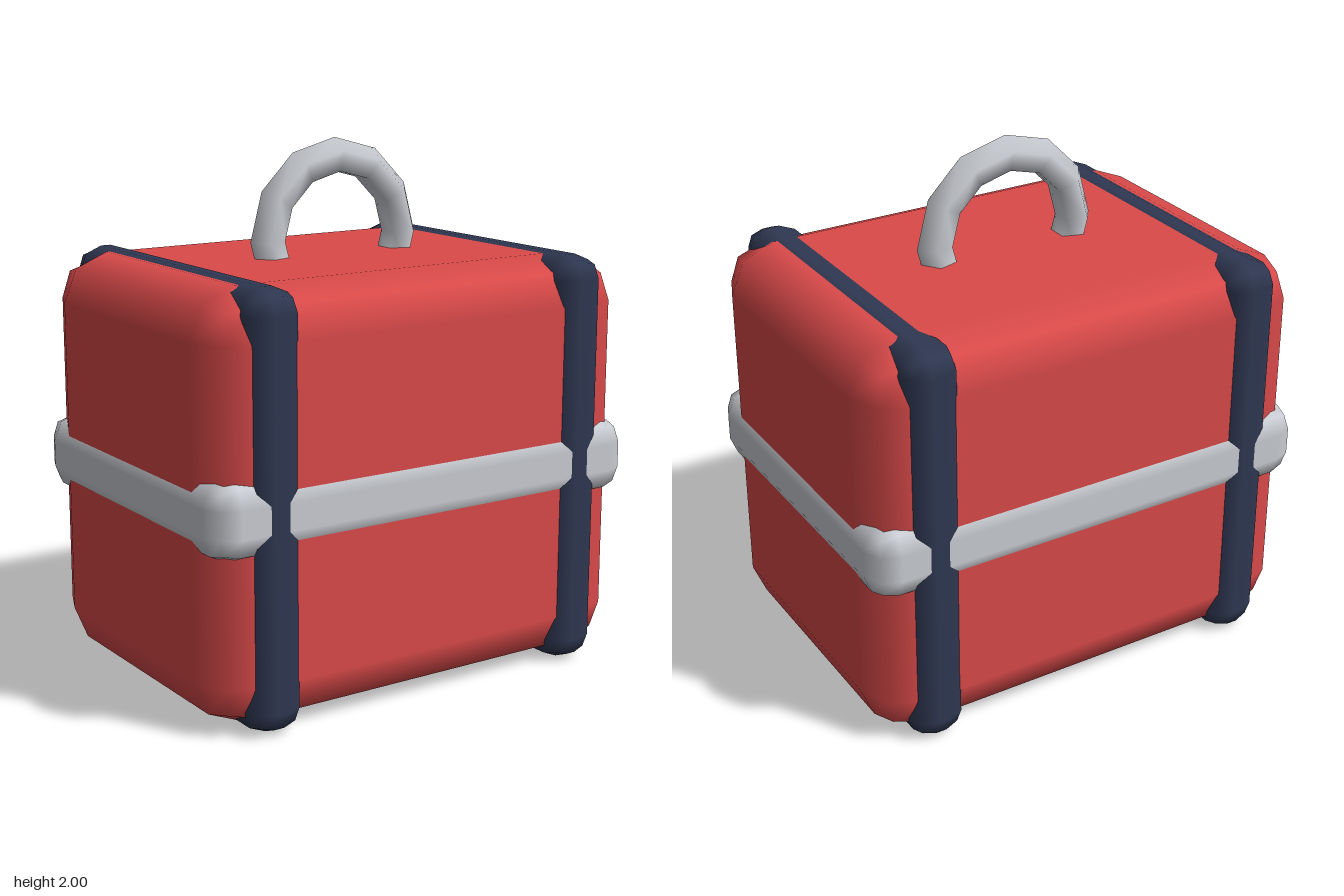
import * as THREE from 'three';
import { RoundedBoxGeometry } from 'three/addons/geometries/RoundedBoxGeometry.js';

const red = new THREE.MeshStandardMaterial({ color: 0xdb4a4a });
red.name = 'red shell';
const navy = new THREE.MeshStandardMaterial({ color: 0x2f3852 });
navy.name = 'navy strap';
const silver = new THREE.MeshStandardMaterial({ color: 0xcbced4 });
silver.name = 'silver trim';

export function createModel() {
  const group = new THREE.Group();

  // Box with two-step rounded edges, placed by its bottom and top heights
  function block(name, material, width, bottom, top, depth, radius, x = 0) {
    const geometry = new RoundedBoxGeometry(width, top - bottom, depth, 1, radius);
    const mesh = new THREE.Mesh(geometry, material);
    mesh.name = name;
    mesh.position.set(x, (bottom + top) / 2, 0);
    group.add(mesh);
  }

  // Case body
  block('body', red, 1.8, 0.008, 1.569, 1.308, 0.18);

  // Horizontal belt; its tighter corners stand proud of the body
  block('belt', silver, 1.83, 0.64, 0.94, 1.342, 0.1);

  // Pair of vertical straps
  for (const side of [-1, 1]) {
    block(side > 0 ? 'leftStrap' : 'rightStrap', navy, 0.22, 0, 1.577, 1.356, 0.09, side * 0.665);
  }

  // Arched carrying handle, its ends sunk into the lid
  const handle = new THREE.Mesh(new THREE.TorusGeometry(0.301, 0.069, 5, 8, Math.PI * 4 / 3), silver);
  handle.name = 'handle';
  handle.rotation.z = -Math.PI / 6;
  handle.position.y = 1.63;
  group.add(handle);

  return group;
}
